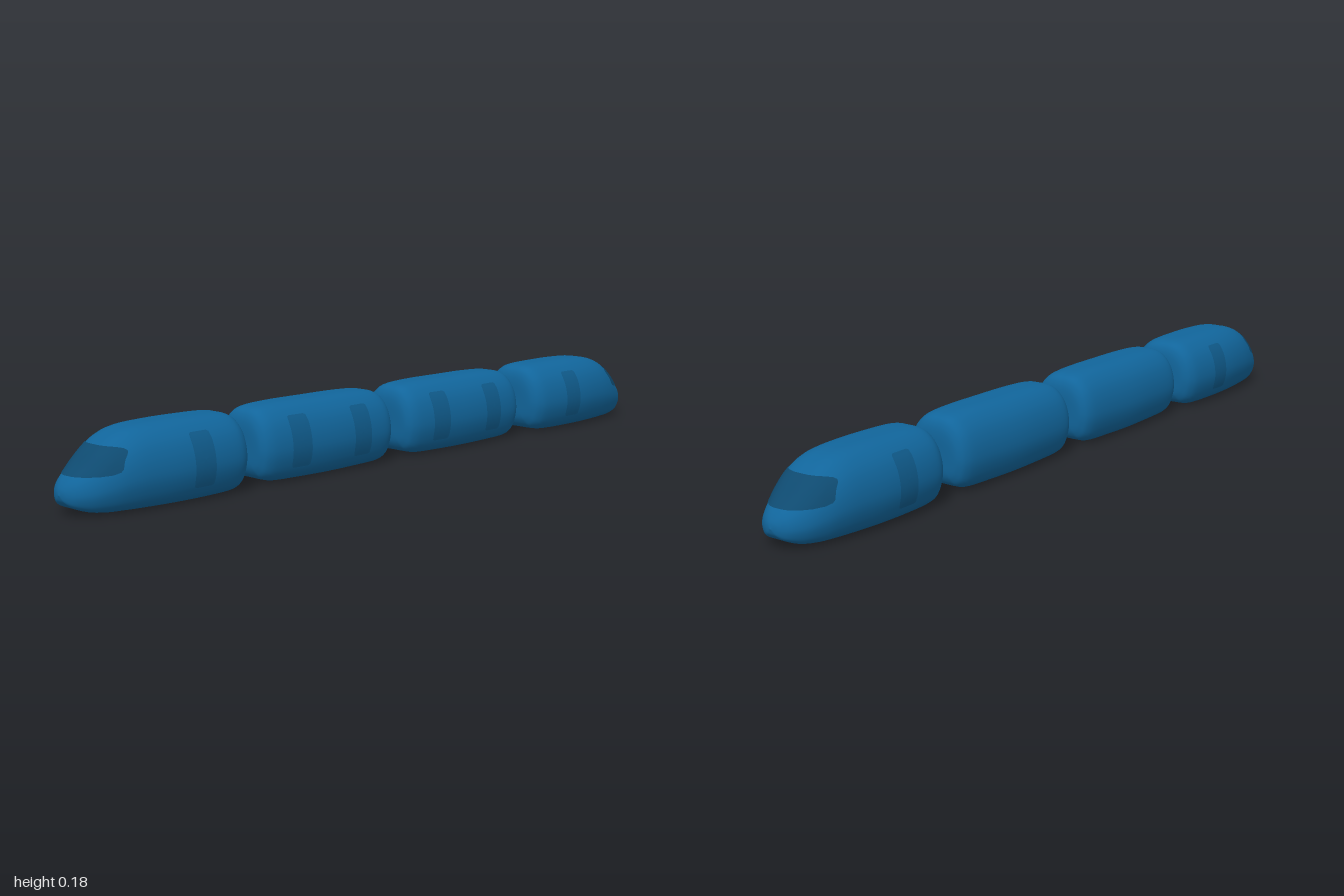
import * as THREE from 'three';

const paint = new THREE.MeshStandardMaterial({ color: 0x11659b });
const doorPaint = new THREE.MeshStandardMaterial({ color: 0x0f5a8a, side: THREE.DoubleSide });
const glass = new THREE.MeshStandardMaterial({ color: 0x0e4a70, side: THREE.DoubleSide });

// Half cross-section, from floor centre up to roof centre: [side, height], both 0..1
const half = [[0, 0], [0.5, 0], [0.67, 0.012], [0.85, 0.1], [0.97, 0.28], [1, 0.43],
  [0.95, 0.62], [0.81, 0.8], [0.56, 0.94], [0.3, 0.993], [0, 1]];
const loop = [...half, ...half.slice(1, -1).reverse().map(([z, y]) => [-z, y])];
const section = new THREE.CatmullRomCurve3(
  loop.map(([z, y]) => new THREE.Vector3(0, y, z)), true).getPoints(72).slice(0, -1);

// Stations along a car: [distance, floor, roof, half width]
const endStations = [[0, 0.05, 0.05, 0], [0.005, 0.035, 0.066, 0.022], [0.02, 0.022, 0.085, 0.045],
  [0.05, 0.011, 0.109, 0.066], [0.09, 0.006, 0.143, 0.083], [0.13, 0.005, 0.169, 0.094],
  [0.18, 0.004, 0.183, 0.102], [0.26, 0.003, 0.187, 0.109], [0.35, 0.003, 0.187, 0.109],
  [0.425, 0.005, 0.185, 0.104], [0.455, 0.012, 0.178, 0.095], [0.469, 0.028, 0.163, 0.081],
  [0.475, 0.05, 0.135, 0.058], [0.475, 0.09, 0.09, 0]];
const midLength = 0.446;
const midHalf = [[0, 0.09, 0.09, 0], [0, 0.05, 0.135, 0.055], [0.006, 0.028, 0.162, 0.075],
  [0.02, 0.013, 0.177, 0.087], [0.05, 0.006, 0.184, 0.094], [0.12, 0.004, 0.187, 0.098]];
const midStations = [...midHalf, [midLength / 2, 0.003, 0.187, 0.101],
  ...midHalf.slice().reverse().map(([x, ...rest]) => [midLength - x, ...rest])];

// Smooth car shell swept through the stations
function carBody(stations, startX) {
  const spine = new THREE.CatmullRomCurve3(
    stations.map(([x, b, t]) => new THREE.Vector3(x, b, t)), false, 'catmullrom');
  const width = new THREE.CatmullRomCurve3(
    stations.map((s) => new THREE.Vector3(s[3], 0, 0)), false, 'catmullrom');
  const rings = (stations.length - 1) * 5, n = section.length;
  const positions = [], index = [];
  for (let i = 0; i <= rings; i++) {
    const s = spine.getPoint(i / rings), w = width.getPoint(i / rings).x;
    for (const p of section) positions.push(startX + s.x, s.y + p.y * (s.z - s.y), p.z * w);
    if (i === rings) break;
    for (let j = 0; j < n; j++) {
      const a = i * n + j, b = i * n + (j + 1) % n;
      index.push(a, a + n, b, b, a + n, b + n);
    }
  }
  const geometry = new THREE.BufferGeometry();
  geometry.setAttribute('position', new THREE.Float32BufferAttribute(positions, 3));
  geometry.setIndex(index);
  geometry.computeVertexNormals();
  const mesh = new THREE.Mesh(geometry, paint);
  mesh.name = 'carBody';
  return mesh;
}

// Thin rounded panel laid onto a shell, projected against the facing direction
function panel(body, name, material, center, facing, halfW, halfH, power, taper = 0) {
  const up = new THREE.Vector3(0, 1, 0);
  const across = up.clone().cross(facing);
  const ray = new THREE.Raycaster();
  const rings = 8, segments = 48, positions = [], index = [];
  for (let i = 0; i <= rings; i++) {
    for (let j = 0; j < segments; j++) {
      const angle = (j / segments) * Math.PI * 2, c = Math.cos(angle), s = Math.sin(angle);
      const r = (i / rings) / (Math.abs(c) ** power + Math.abs(s) ** power) ** (1 / power);
      const from = center.clone()
        .addScaledVector(across, r * c * halfW * (1 - taper * r * s))
        .addScaledVector(up, r * s * halfH).add(facing);
      ray.set(from, facing.clone().negate());
      const hit = ray.intersectObject(body)[0];
      const p = hit ? hit.point.addScaledVector(hit.face.normal, 0.0015) : from.sub(facing);
      positions.push(p.x, p.y, p.z);
      if (i === rings) continue;
      const a = i * segments + j, b = i * segments + (j + 1) % segments;
      index.push(a, a + segments, b, b, a + segments, b + segments);
    }
  }
  const geometry = new THREE.BufferGeometry();
  geometry.setAttribute('position', new THREE.Float32BufferAttribute(positions, 3));
  geometry.setIndex(index);
  geometry.computeVertexNormals();
  const mesh = new THREE.Mesh(geometry, material);
  mesh.name = name;
  return mesh;
}

const door = (body, x, side) => panel(body, 'door', doorPaint,
  new THREE.Vector3(x, 0.098, 0), new THREE.Vector3(0, 0, side), 0.03, 0.062, 14);

// End car with a sloped nose towards -x
function endCar(name) {
  const car = new THREE.Group();
  car.name = name;
  const body = carBody(endStations, -1);
  car.add(body, door(body, -0.677, 1), door(body, -0.677, -1));
  car.add(panel(body, 'windscreen', glass, new THREE.Vector3(-1, 0.119, 0),
    new THREE.Vector3(-1, 0, 0), 0.081, 0.03, 6, 0.09));
  return car;
}

// Middle car with two doors on the front side
function middleCar(name, startX) {
  const car = new THREE.Group();
  car.name = name;
  const body = carBody(midStations, startX);
  car.add(body, door(body, startX + 0.113, 1), door(body, startX + 0.319, 1));
  return car;
}

export function createModel() {
  const train = new THREE.Group();
  train.name = 'train';
  const leftEnd = endCar('leftEndCar');
  leftEnd.rotation.y = Math.PI;
  train.add(endCar('rightEndCar'), middleCar('rightMiddleCar', -0.481),
    middleCar('leftMiddleCar', 0.019), leftEnd);
  // Rest the floors on the ground
  train.children.forEach((car) => { car.position.y = -0.002; });
  return train;
}
